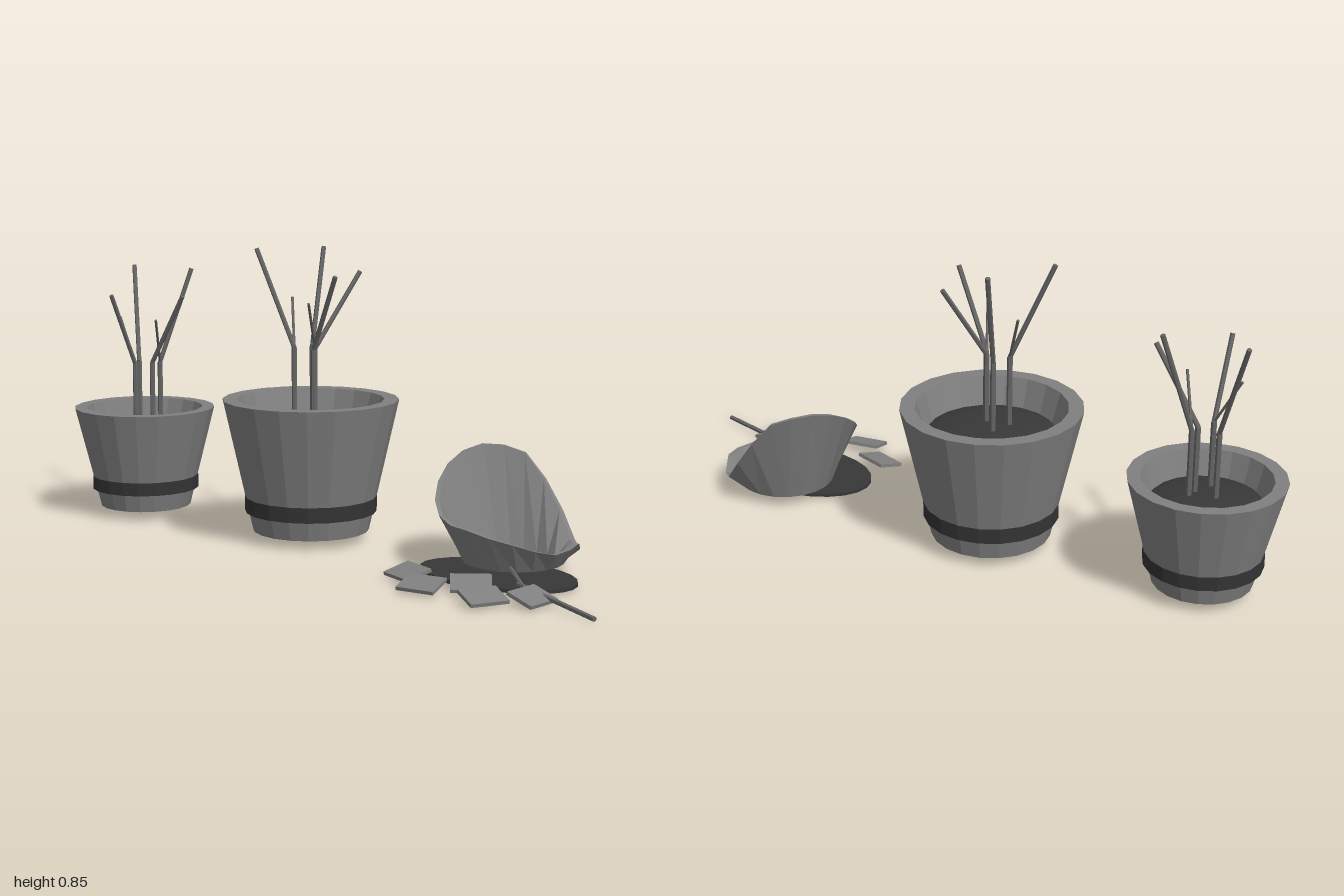
import * as THREE from 'three';

const SIDES = 20;
const mat = (name, color, extra = {}) => {
  const m = new THREE.MeshStandardMaterial({ color, flatShading: true, ...extra });
  m.name = name;
  return m;
};

export function createModel() {
  const clay = mat('clay grey', 0x808080);
  const bandMat = mat('band dark grey', 0x333333);
  const soilMat = mat('soil dark grey', 0x383838);
  const twigMat = mat('twig grey', 0x666666);

  const root = new THREE.Group();
  root.name = 'brokenPots';

  const add = (parent, name, geometry, material, x = 0, y = 0, z = 0) => {
    const mesh = new THREE.Mesh(geometry, material);
    mesh.name = name;
    mesh.position.set(x, y, z);
    parent.add(mesh);
    return mesh;
  };

  // Straight twig between two points
  const twig = (parent, name, from, to, radius) => {
    const a = new THREE.Vector3(...from), b = new THREE.Vector3(...to);
    const dir = b.clone().sub(a);
    const mesh = add(parent, name, new THREE.CylinderGeometry(radius, radius, dir.length(), 6), twigMat);
    mesh.position.copy(a).add(b).multiplyScalar(0.5);
    mesh.quaternion.setFromUnitVectors(new THREE.Vector3(0, 1, 0), dir.normalize());
  };

  // Hollow tapered pot with a band, soil and bare stems
  const pot = (name, o) => {
    const g = new THREE.Group();
    g.name = name;
    root.add(g);
    const profile = [
      [o.base, 0.03], [o.rim, o.top], [o.inner, o.top],
      [o.soil, o.soilY], [o.hole, 0.03], [o.base, 0.03],
    ].map(p => new THREE.Vector2(...p));
    add(g, 'potWall', new THREE.LatheGeometry(profile, SIDES), clay, o.x, 0, o.z);
    const [lo, hi] = o.band;
    add(g, 'potBand', new THREE.CylinderGeometry(o.bandR, o.bandR, hi - lo, SIDES), bandMat, o.x, (lo + hi) / 2, o.z);
    const soil = add(g, 'soil', new THREE.SphereGeometry(o.soil + 0.002, SIDES, 5, 0, Math.PI * 2, 0, Math.PI / 2), soilMat, o.x, o.soilY, o.z);
    soil.scale.y = 0.2;
    for (const [x, z, tips] of o.stems) {
      const fork = [x, o.fork, z];
      twig(g, 'stem', [x, o.soilY, z], fork, 0.008);
      tips.forEach((tip, i) => twig(g, 'branch', fork, tip, i ? 0.004 : 0.007));
    }
  };

  pot('smallPot', {
    x: -0.78, z: -0.05, base: 0.14, rim: 0.218, top: 0.34, inner: 0.18, soil: 0.158, soilY: 0.26, hole: 0.118,
    band: [0.085, 0.125], bandR: 0.166, fork: 0.48,
    stems: [
      [-0.81, -0.06, [[-0.91, 0.77, -0.15]]],
      [-0.77, 0.0, [[-0.77, 0.7, 0.1], [-0.85, 0.62, -0.02]]],
      [-0.74, -0.08, [[-0.68, 0.77, -0.165], [-0.69, 0.62, -0.01]]],
      [-0.745, -0.05, [[-0.615, 0.695, -0.05]]],
    ],
  });

  pot('largePot', {
    x: -0.14, z: -0.08, base: 0.172, rim: 0.26, top: 0.42, inner: 0.217, soil: 0.19, soilY: 0.33, hole: 0.147,
    band: [0.087, 0.155], bandR: 0.195, fork: 0.57,
    stems: [
      [-0.185, -0.06, [[-0.31, 0.855, -0.04], [-0.24, 0.71, -0.12]]],
      [-0.165, -0.12, [[-0.2, 0.855, -0.22]]],
      [-0.12, -0.075, [[-0.055, 0.79, -0.207], [-0.08, 0.71, 0.005]]],
      [-0.105, -0.05, [[0.005, 0.79, -0.01]]],
    ],
  });

  // Broken pot: tapered shell with a jagged top edge
  const broken = new THREE.Group();
  broken.name = 'brokenPot';
  root.add(broken);
  const heights = [0.09, 0.085, 0.1, 0.12, 0.135, 0.15, 0.155, 0.17, 0.2, 0.24,
    0.28, 0.31, 0.325, 0.32, 0.3, 0.23, 0.15, 0.08, 0.065, 0.095];
  const n = heights.length;
  const ring = [[0.14, false], [0.2, true], [0.188, true], [0.122, false]];
  const point = (j, i) => {
    const [r, isTop] = ring[j % 4];
    const a = (i % n) / n * Math.PI * 2;
    return [(isTop ? 0.54 : 0.56) + r * Math.cos(a), isTop ? heights[i % n] : 0.035, -0.09 + r * Math.sin(a)];
  };
  const verts = [];
  for (let i = 0; i < n; i++) {
    for (let j = 0; j < 4; j++) {
      const a = point(j, i), b = point(j + 1, i), c = point(j + 1, i + 1), d = point(j, i + 1);
      verts.push(...a, ...b, ...c, ...a, ...c, ...d);
    }
  }
  const shell = new THREE.BufferGeometry();
  shell.setAttribute('position', new THREE.Float32BufferAttribute(verts, 3));
  shell.computeVertexNormals();
  add(broken, 'brokenWall', shell, clay);

  // Spilled soil
  const spill = add(broken, 'spilledSoil', new THREE.CylinderGeometry(1, 1, 0.01, 24), soilMat, 0.57, 0.014, 0.005);
  spill.scale.set(0.235, 1, 0.15);

  // Shards on the ground: x, z, turn, tilt
  const shards = [
    [0.385, 0.165, -0.35, 0.25], [0.49, 0.25, 0.12, 0.25], [0.59, 0.165, 0.6, 0.3],
    [0.69, 0.26, 1.05, 0.25], [0.79, 0.185, 1.45, 0.3],
  ];
  for (const [x, z, turn, tilt] of shards) {
    const s = add(broken, 'shard', new THREE.BoxGeometry(0.11, 0.01, 0.083), clay, x, 0.026, z);
    s.rotation.set(tilt, turn, 0, 'YXZ');
  }

  // Fallen twig
  twig(broken, 'fallenStem', [0.53, 0.022, -0.11], [0.64, 0.05, 0.05], 0.006);
  twig(broken, 'fallenStem', [0.64, 0.05, 0.05], [0.72, 0.03, 0.12], 0.006);
  twig(broken, 'fallenBranch', [0.7, 0.03, 0.11], [0.995, 0.01, 0.225], 0.007);

  return root;
}
